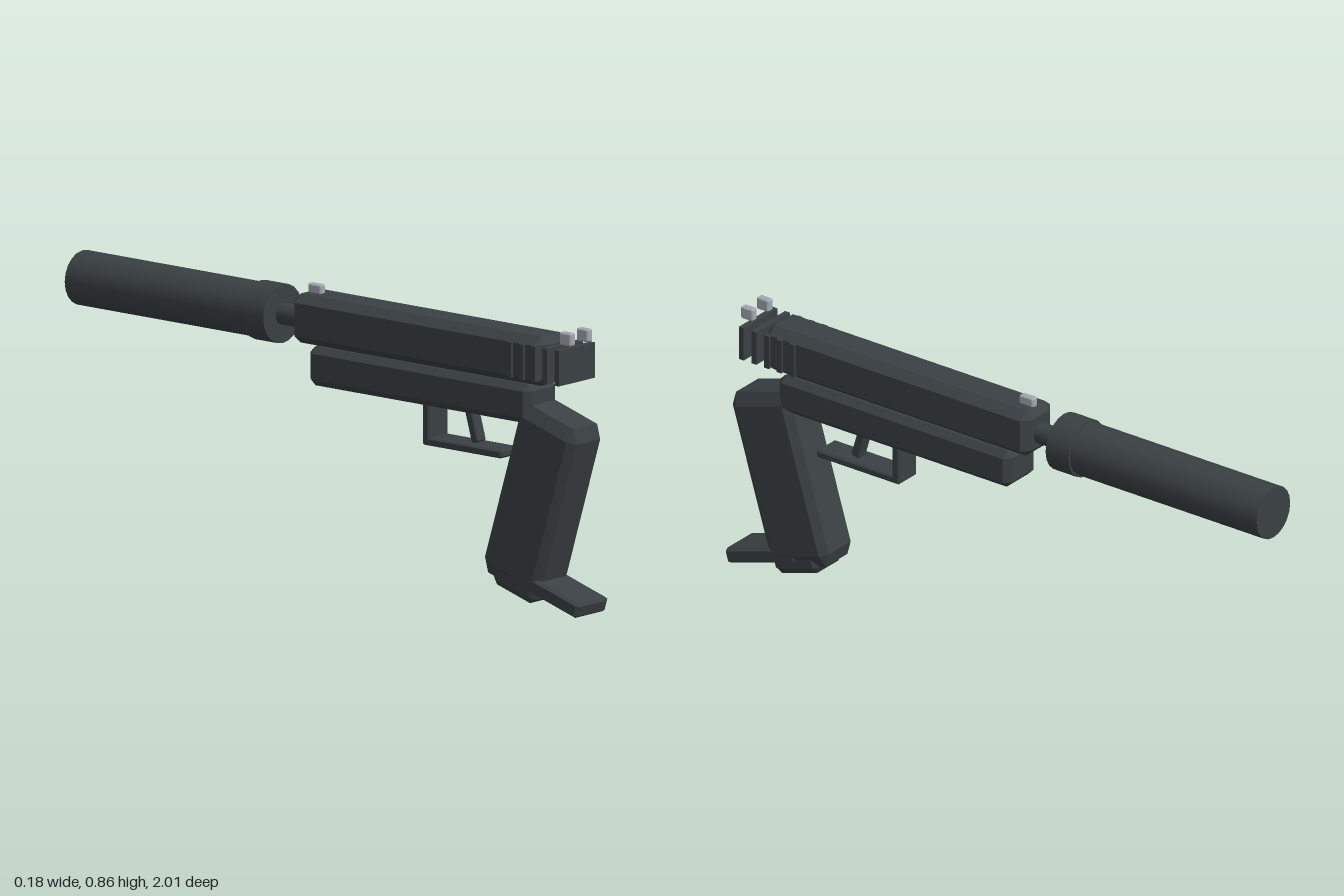
import * as THREE from 'three';
import { ConvexGeometry } from 'three/addons/geometries/ConvexGeometry.js';

const gunmetal = new THREE.MeshStandardMaterial({ color: 0x3a4043 });
gunmetal.name = 'gunmetal';
const steel = new THREE.MeshStandardMaterial({ color: 0xa3a7b0 });
steel.name = 'steel';

// Box with chamfered edges: every corner is cut into three points
function chamferBox(w, h, d, bx, by, bz) {
  const points = [];
  for (const sx of [-1, 1]) for (const sy of [-1, 1]) for (const sz of [-1, 1]) {
    const x = w / 2, y = h / 2, z = d / 2;
    points.push(
      new THREE.Vector3(sx * x, sy * (y - by), sz * (z - bz)),
      new THREE.Vector3(sx * (x - bx), sy * y, sz * (z - bz)),
      new THREE.Vector3(sx * (x - bx), sy * (y - by), sz * z)
    );
  }
  return new ConvexGeometry(points);
}

function add(parent, name, geometry, material, x, y, z) {
  const mesh = new THREE.Mesh(geometry, material);
  mesh.name = name;
  mesh.position.set(x, y, z);
  parent.add(mesh);
  return mesh;
}

// Cylinder lying along z between two z positions
function tube(parent, name, radius, z0, z1, sides) {
  const geometry = new THREE.CylinderGeometry(radius, radius, Math.abs(z1 - z0), sides);
  geometry.rotateX(Math.PI / 2);
  return add(parent, name, geometry, gunmetal, 0, 0.756, (z0 + z1) / 2);
}

export function createModel() {
  const model = new THREE.Group();
  model.name = 'model';

  // Slide and lower frame
  add(model, 'slide', chamferBox(0.148, 0.15, 0.985, 0.03, 0.024, 0.022), gunmetal, 0, 0.765, 0.365);
  add(model, 'frame', chamferBox(0.146, 0.12, 0.87, 0.02, 0.02, 0.02), gunmetal, 0, 0.63, 0.375);

  // Ribs at the back of the slide
  for (let i = 0; i < 5; i++) {
    add(model, 'slideRib', new THREE.BoxGeometry(0.166, 0.108, 0.018), gunmetal, 0, 0.763, 0.932 - i * 0.047);
  }

  // Barrel and long end tube
  tube(model, 'barrel', 0.033, -0.1, -0.24, 16);
  tube(model, 'endCollar', 0.09, -0.214, -0.3, 20);
  tube(model, 'endTube', 0.083, -0.29, -1, 20);

  // Sights
  for (const x of [-0.039, 0.039]) {
    add(model, 'rearSight', chamferBox(0.025, 0.039, 0.045, 0.004, 0.004, 0.004), steel, x, 0.847, 0.937);
  }
  add(model, 'frontSight', chamferBox(0.025, 0.036, 0.052, 0.004, 0.004, 0.004), steel, 0, 0.848, -0.081);

  // Trigger and guard
  add(model, 'guardBar', chamferBox(0.09, 0.024, 0.31, 0.005, 0.005, 0.005), gunmetal, 0, 0.457, 0.525);
  add(model, 'guardPost', chamferBox(0.09, 0.14, 0.027, 0.005, 0.005, 0.005), gunmetal, 0, 0.515, 0.384);
  const trigger = add(model, 'trigger', chamferBox(0.04, 0.12, 0.03, 0.005, 0.005, 0.005), gunmetal, 0, 0.53, 0.54);
  trigger.rotation.x = -0.28;

  // Raked grip with its base and rear foot
  const grip = new THREE.Group();
  grip.name = 'grip';
  grip.position.set(0, 0.336, 0.806);
  grip.rotation.x = 0.296;
  model.add(grip);
  add(grip, 'gripBody', chamferBox(0.148, 0.56, 0.23, 0.02, 0.04, 0.025), gunmetal, 0, 0, 0);
  add(grip, 'gripBase', chamferBox(0.135, 0.09, 0.175, 0.015, 0.02, 0.02), gunmetal, 0, -0.256, 0.019);
  add(grip, 'gripFoot', chamferBox(0.146, 0.048, 0.27, 0.012, 0.008, 0.008), gunmetal, 0, -0.24, 0.142);

  return model;
}
